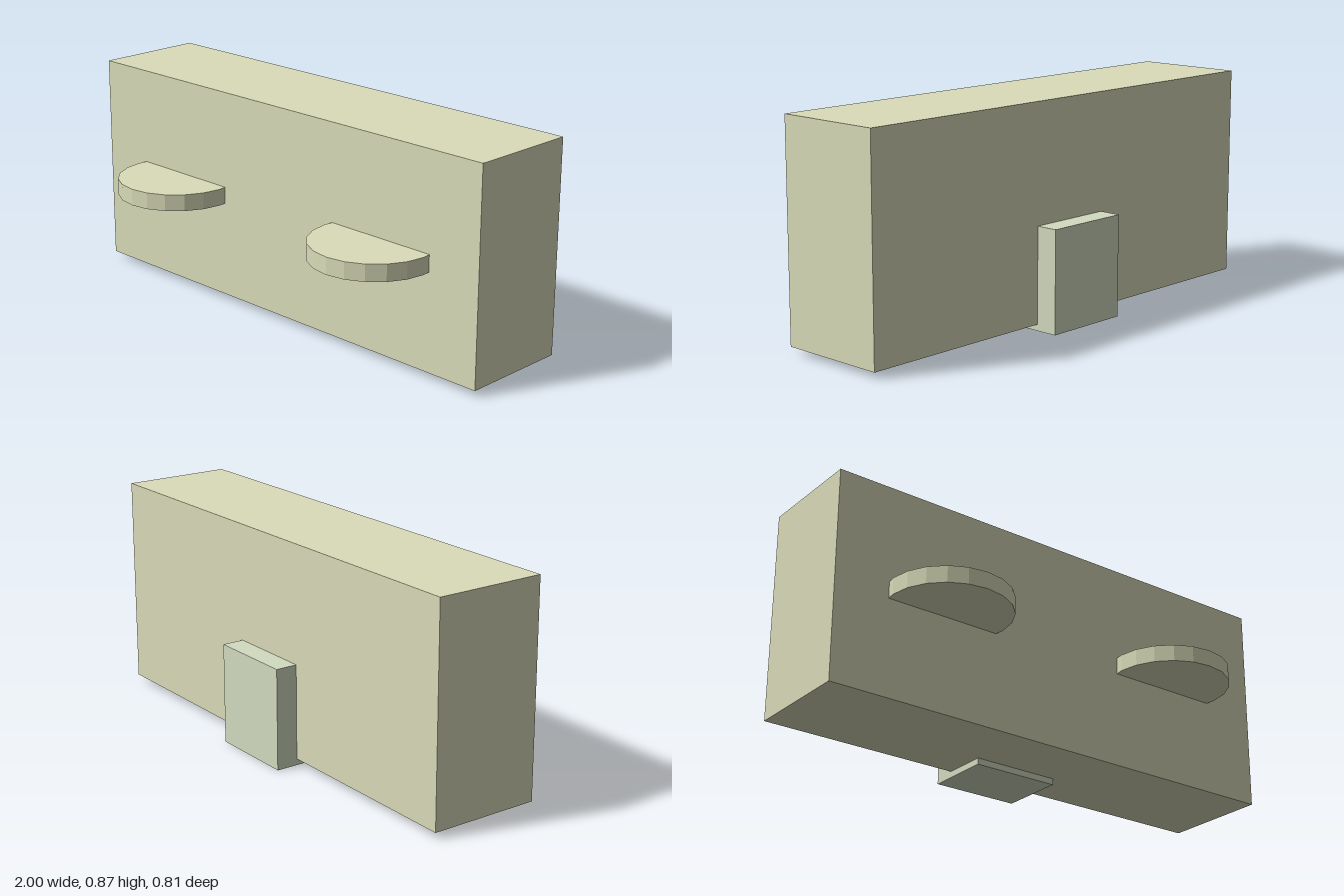
import * as THREE from 'three';

const cream = new THREE.MeshStandardMaterial({ color: 0xdadcb9, flatShading: true });
const paleGreen = new THREE.MeshStandardMaterial({ color: 0xd3dbc0, flatShading: true });

// Box given by its lower and upper corners
function box(name, min, max, material) {
  const size = max.map((v, i) => v - min[i]);
  const mesh = new THREE.Mesh(new THREE.BoxGeometry(...size), material);
  mesh.position.set(...max.map((v, i) => (v + min[i]) / 2));
  mesh.name = name;
  return mesh;
}

export function createModel() {
  const model = new THREE.Group();
  model.name = 'block';

  // Main slab
  model.add(box('body', [-1, 0.025, -0.317], [1, 0.868, 0.128], cream));

  // Bracket at the back, reaching just under the slab
  model.add(box('backBracket', [-0.18, 0, -0.405], [0.18, 0.402, -0.137], paleGreen));

  // Round discs sunk into the front face
  for (const side of [-1, 1]) {
    const disc = new THREE.Mesh(new THREE.CylinderGeometry(0.244, 0.244, 0.067, 20), cream);
    disc.position.set(side * 0.534, 0.446, 0.161);
    disc.name = side > 0 ? 'leftDisc' : 'rightDisc';
    model.add(disc);
  }

  return model;
}
